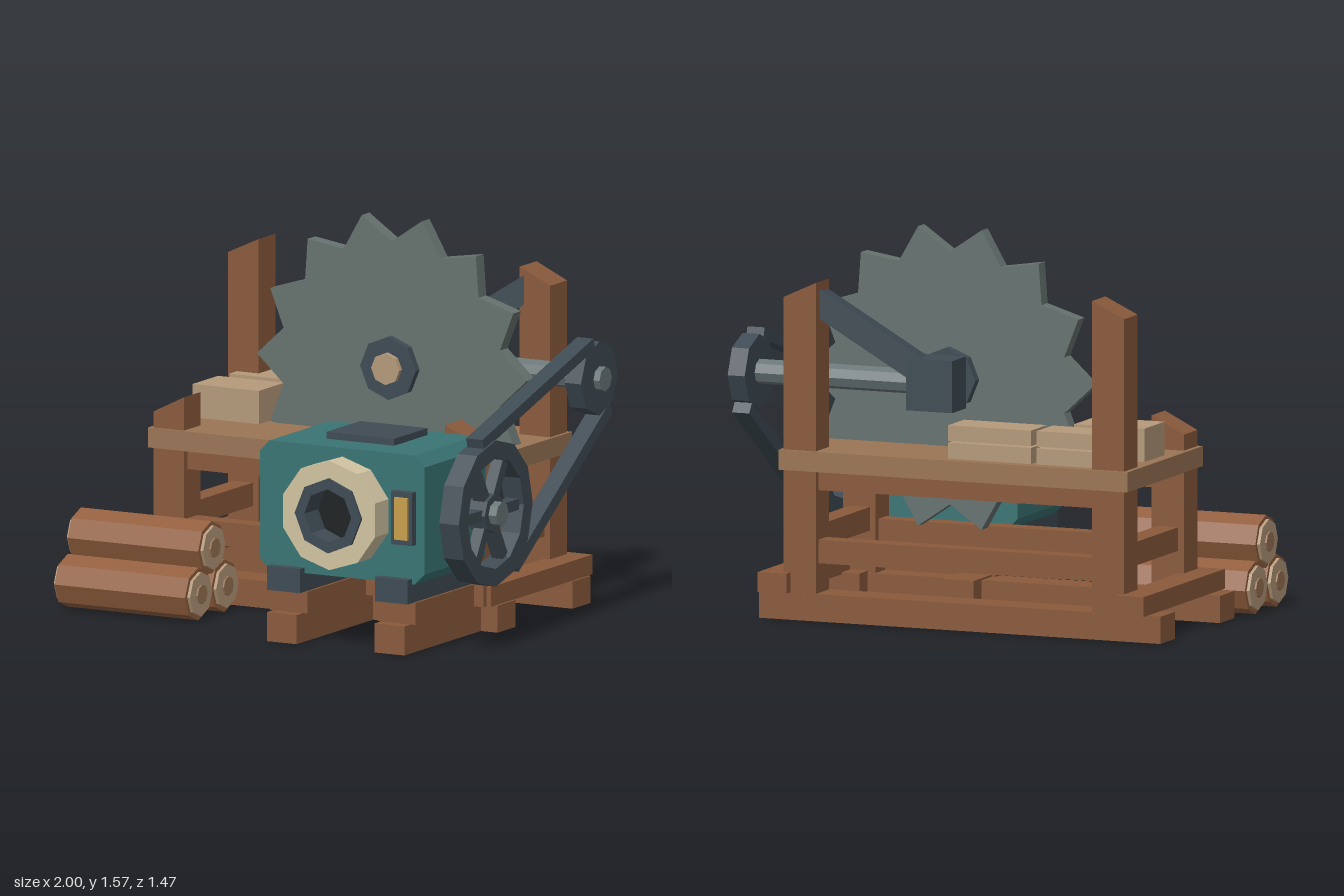
import * as THREE from 'three';

const COLORS = {
  wood: 0x8a5a3c, table: 0x9a7555, plank: 0xb59a7a, iron: 0x3f4b54, blade: 0x66726f,
  steel: 0x6a7677, teal: 0x3a7474, cream: 0xd2c4a2, brass: 0xc9a04c, black: 0x1e2323, bark: 0x93603f,
};
const mats = {};
for (const k in COLORS) mats[k] = new THREE.MeshStandardMaterial({ color: COLORS[k], flatShading: true });

export function createModel() {
  const root = new THREE.Group();
  root.name = 'beltDrivenSaw';

  const add = (name, mat, geo) => {
    const m = new THREE.Mesh(geo, mats[mat]);
    m.name = name;
    root.add(m);
    return m;
  };
  const box = (name, mat, [x0, x1], [y0, y1], [z0, z1]) =>
    add(name, mat, new THREE.BoxGeometry(x1 - x0, y1 - y0, z1 - z0)
      .translate((x0 + x1) / 2, (y0 + y1) / 2, (z0 + z1) / 2));
  // Cylinder running along x or z between two coordinates
  const rodX = (name, mat, r, n, [x0, x1], y, z) =>
    add(name, mat, new THREE.CylinderGeometry(r, r, x1 - x0, n).rotateZ(Math.PI / 2).translate((x0 + x1) / 2, y, z));
  const rodZ = (name, mat, r, n, [z0, z1], x, y) =>
    add(name, mat, new THREE.CylinderGeometry(r, r, z1 - z0, n).rotateX(Math.PI / 2).translate(x, y, (z0 + z1) / 2));
  // Rectangular bar between two points
  const bar = (name, mat, w, t, a, b) => {
    const A = new THREE.Vector3(...a), B = new THREE.Vector3(...b);
    const m = add(name, mat, new THREE.BoxGeometry(w, t, A.distanceTo(B)));
    m.position.copy(A).add(B).multiplyScalar(0.5);
    m.lookAt(B);
    return m;
  };
  const polygon = (n, radius, start = Math.PI / 2) => {
    const pts = [];
    for (let i = 0; i < n; i++) {
      const a = start + (i / n) * Math.PI * 2, r = typeof radius === 'function' ? radius(i) : radius;
      pts.push(new THREE.Vector2(Math.cos(a) * r, Math.sin(a) * r));
    }
    return pts;
  };
  const extrude = (pts, depth, hole) => {
    const s = new THREE.Shape(pts);
    if (hole) s.holes.push(new THREE.Path(hole));
    return new THREE.ExtrudeGeometry(s, { depth, bevelEnabled: false });
  };
  const outline = (...p) => p.map(([x, y]) => new THREE.Vector2(x, y));

  // Posts with sloping tops, higher on the inner side
  const post = (name, x0, x1, yLeft, yRight, z0, z1) =>
    add(name, 'wood', extrude(outline([x0, 0.1], [x1, 0.1], [x1, yRight], [x0, yLeft]), z1 - z0).translate(0, 0, z0));
  post('backRightPost', -0.79, -0.65, 1.3, 1.365, -0.695, -0.56);
  post('backLeftPost', 0.55, 0.69, 1.365, 1.3, -0.695, -0.56);
  post('frontRightPost', -0.79, -0.65, 0.75, 0.82, -0.095, 0.04);
  post('frontLeftPost', 0.55, 0.69, 0.82, 0.75, -0.095, 0.04);

  // Base frame, rails and aprons
  for (const [z0, z1] of [[-0.7, -0.555], [-0.1, 0.045]]) {
    const c = (z0 + z1) / 2;
    box('baseSkid', 'wood', [-0.95, 0.795], [0, 0.11], [z0, z1]);
    box('longRail', 'wood', [-0.66, 0.56], [0.23, 0.325], [c - 0.04, c + 0.04]);
    box('apron', 'wood', [-0.66, 0.56], [0.525, 0.61], [c - 0.04, c + 0.04]);
  }
  for (const x of [-0.83, 0.723]) box('sideSill', 'wood', [x - 0.062, x + 0.062], [0.11, 0.19], [-0.735, 0.083]);
  for (const x of [-0.72, 0.62]) box('sideRail', 'wood', [x - 0.045, x + 0.045], [0.28, 0.375], [-0.57, -0.08]);

  // Table top and cut timber
  box('tableTop', 'table', [-0.81, 0.705], [0.604, 0.685], [-0.71, 0.05]);
  box('timberBlock', 'plank', [-0.765, -0.46], [0.685, 0.82], [-0.435, -0.23]);
  for (const [x0, x1] of [[-0.75, -0.395], [-0.37, -0.01]]) {
    box('lowerPlank', 'plank', [x0, x1], [0.685, 0.75], [-0.66, -0.5]);
    box('upperPlank', 'plank', [x0, x1], [0.757, 0.82], [-0.66, -0.5]);
  }

  // Saw blade: 14 symmetric teeth
  const bx = 0.115, by = 0.96;
  add('sawBlade', 'blade', extrude(polygon(28, i => (i % 2 ? 0.62 : 0.51)), 0.062).translate(bx, by, -0.355));
  rodZ('bladeHub', 'iron', 0.128, 8, [-0.395, -0.262], bx, by);
  rodZ('bladeNut', 'plank', 0.065, 8, [-0.3, -0.24], bx, by);
  rodZ('bladeAxle', 'steel', 0.045, 8, [-0.5, -0.39], bx, by);

  // Gearbox, drive shaft and brace to the post
  box('gearbox', 'iron', [0.01, 0.21], [0.855, 1.065], [-0.575, -0.435]);
  rodX('driveShaft', 'steel', 0.05, 8, [0.15, 0.985], by, -0.49);
  bar('brace', 'iron', 0.1, 0.1, [0.15, 1.0, -0.51], [0.585, 1.29, -0.615]);

  // Engine mount
  box('mountCrossBeam', 'wood', [0.07, 0.765], [0.11, 0.23], [0, 0.105]);
  for (const x of [0.155, 0.65]) {
    box('engineSkid', 'wood', [x - 0.068, x + 0.068], [0, 0.118], [-0.18, 0.66]);
    box('mountBeam', 'wood', [x - 0.085, x + 0.09], [0.118, 0.207], [0.14, 0.61]);
    box('engineFoot', 'iron', [x - 0.07, x + 0.08], [0.207, 0.305], [0.11, 0.655]);
  }

  // Engine body with chamfered corners
  const x0 = 0.03, x1 = 0.787, y0 = 0.283, y1 = 0.807, c = 0.045;
  add('engineBody', 'teal', extrude(outline([x0 + c, y0], [x1 - c, y0], [x1, y0 + c], [x1, y1 - c],
    [x1 - c, y1], [x0 + c, y1], [x0, y1 - c], [x0, y0 + c]), 0.49).translate(0, 0, 0.128));
  box('topPlate', 'iron', [0.255, 0.565], [0.8, 0.835], [0.205, 0.475]);

  // Round opening at the front
  const ex = 0.41, ey = 0.55;
  add('outerCollar', 'cream', extrude(polygon(10, 0.222), 0.115, polygon(8, 0.14)).translate(ex, ey, 0.61));
  add('innerCollar', 'iron', extrude(polygon(8, 0.152), 0.127, polygon(8, 0.108)).translate(ex, ey, 0.61));
  rodZ('openingBack', 'black', 0.13, 8, [0.6, 0.625], ex, ey);

  // Gauge
  box('gaugeFrame', 'iron', [0.652, 0.748], [0.445, 0.66], [0.61, 0.652]);
  box('gaugeGlass', 'brass', [0.672, 0.732], [0.467, 0.638], [0.64, 0.664]);

  // Flywheel with six spokes
  const fz = 0.357;
  add('flywheelRim', 'iron', extrude(polygon(12, 0.297), 0.09, polygon(12, 0.225))
    .rotateY(Math.PI / 2).translate(0.875, ey, fz));
  for (let i = 0; i < 3; i++)
    add('flywheelSpokes', 'iron', new THREE.BoxGeometry(0.05, 0.045, 0.47)
      .rotateX(i * Math.PI / 3).translate(0.92, ey, fz));
  rodX('flywheelHub', 'iron', 0.08, 8, [0.88, 0.96], ey, fz);
  rodX('flywheelShaft', 'steel', 0.05, 8, [0.77, 0.995], ey, fz);
  rodX('shaftCollar', 'iron', 0.075, 8, [0.78, 0.83], ey, fz);

  // Small pulley and belt
  rodX('pulley', 'iron', 0.15, 8, [0.883, 0.957], by, -0.49);
  bar('upperBelt', 'iron', 0.075, 0.047, [0.92, 0.84, 0.445], [0.92, 1.107, -0.447]);
  bar('lowerBelt', 'iron', 0.075, 0.052, [0.92, 0.302, 0.175], [0.92, 0.825, -0.58]);

  // Log pile
  for (const [y, z] of [[0.105, 0.185], [0.105, 0.395], [0.277, 0.29]]) {
    rodX('log', 'bark', 0.107, 8, [-0.98, -0.38], y, z);
    rodX('logCutFaces', 'plank', 0.09, 8, [-0.993, -0.367], y, z);
    rodX('logCore', 'table', 0.04, 8, [-1, -0.36], y, z);
  }
  return root;
}
